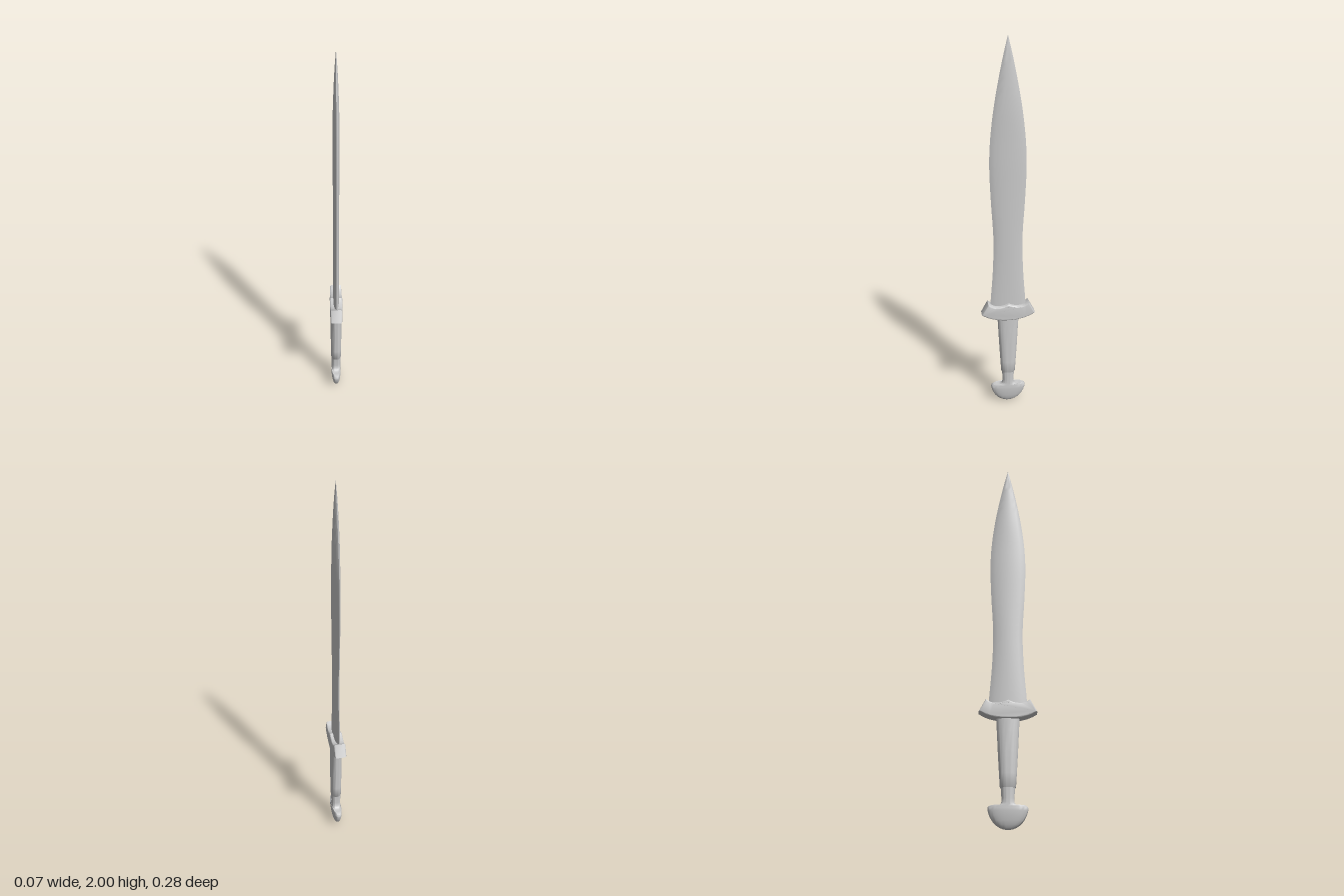
import * as THREE from 'three';
import { mergeVertices, toCreasedNormals } from 'three/addons/utils/BufferGeometryUtils.js';

const material = new THREE.MeshStandardMaterial({ color: 0xcccccc });

// Unit superellipse in [x, z]; power 1 is round, smaller is boxier.
function roundSection(count, power) {
  const soft = (v) => Math.sign(v) * Math.abs(v) ** power;
  return Array.from({ length: count }, (_, i) => {
    const a = (i / count) * Math.PI * 2;
    return [soft(Math.cos(a)), soft(Math.sin(a))];
  });
}

// Closed skin through scaled copies of a section; rows are [y, halfWidth (z), halfThickness (x)].
function loft(section, rows, crease) {
  const n = section.length;
  const positions = [];
  const index = [];
  for (const [y, w, t] of rows) for (const [x, z] of section) positions.push(x * t, y, z * w);
  for (let r = 0; r < rows.length - 1; r++) {
    for (let i = 0; i < n; i++) {
      const a = r * n + i, b = r * n + ((i + 1) % n);
      index.push(a, a + n, b, b, a + n, b + n);
    }
  }
  const bottom = rows.length * n, top = bottom + 1, last = (rows.length - 1) * n;
  positions.push(0, rows[0][0], 0, 0, rows[rows.length - 1][0], 0);
  for (let i = 0; i < n; i++) {
    const j = (i + 1) % n;
    index.push(bottom, i, j, top, last + j, last + i);
  }
  const geometry = new THREE.BufferGeometry();
  geometry.setAttribute('position', new THREE.Float32BufferAttribute(positions, 3));
  geometry.setIndex(index);
  return toCreasedNormals(geometry, crease);
}

// Smooth rows through a few profile points.
function smoothRows(rows, count) {
  const curve = new THREE.CatmullRomCurve3(rows.map((r) => new THREE.Vector3(...r)));
  return curve.getPoints(count).map((p) => [p.y === undefined ? 0 : p.x, Math.max(p.y, 0.0005), Math.max(p.z, 0.0005)]);
}

function createBlade() {
  // Bevelled section with a faint central ridge and sharp edges.
  const quarter = [[1, 0], [0.97, 0.36], [0.62, 0.72], [0.34, 0.88]];
  const half = [...quarter, [0, 1], ...quarter.slice(1).reverse().map(([x, z]) => [-x, z])];
  const section = [...half, ...half.map(([x, z]) => [-x, -z])];
  const rows = smoothRows([
    [0.57, 0.096, 0.015], [0.64, 0.092, 0.015], [0.8, 0.08, 0.015], [0.98, 0.075, 0.015],
    [1.2, 0.087, 0.015], [1.37, 0.093, 0.016], [1.5, 0.088, 0.016], [1.65, 0.071, 0.016],
    [1.8, 0.045, 0.012], [1.91, 0.022, 0.007], [2, 0.0005, 0.0005],
  ], 50);
  return loft(section, rows, 0.6);
}

function createGuard() {
  // Crescent outline with a scalloped top, drawn in the z/y plane.
  const s = new THREE.Shape();
  s.moveTo(0, 0.531);
  s.bezierCurveTo(0.06, 0.531, 0.1, 0.542, 0.133, 0.563);
  s.lineTo(0.106, 0.614);
  s.quadraticCurveTo(0.085, 0.597, 0.06, 0.597);
  s.quadraticCurveTo(0.025, 0.598, 0, 0.612);
  s.quadraticCurveTo(-0.025, 0.598, -0.06, 0.597);
  s.quadraticCurveTo(-0.085, 0.597, -0.106, 0.614);
  s.lineTo(-0.133, 0.563);
  s.bezierCurveTo(-0.1, 0.542, -0.06, 0.531, 0, 0.531);
  const g = new THREE.ExtrudeGeometry(s, {
    depth: 0.042, bevelSize: 0.007, bevelThickness: 0.009, bevelSegments: 4, curveSegments: 10,
  });
  g.translate(0, 0, -0.021);
  g.rotateY(Math.PI / 2);
  // Thicken gently towards the middle.
  const p = g.attributes.position;
  for (let i = 0; i < p.count; i++) {
    p.setX(i, p.getX(i) * (1.14 - 0.14 * Math.min(1, Math.abs(p.getZ(i)) / 0.14)));
  }
  g.deleteAttribute('normal');
  g.deleteAttribute('uv');
  return toCreasedNormals(mergeVertices(g, 1e-5), 0.7);
}

export function createModel() {
  const model = new THREE.Group();
  const add = (name, geometry) => {
    const mesh = new THREE.Mesh(geometry, material);
    mesh.name = name;
    model.add(mesh);
  };

  add('blade', createBlade());
  add('guard', createGuard());

  // Grip flares up into the guard and ends in a small step at the neck.
  add('grip', loft(roundSection(40, 0.85), [
    [0.194, 0.034, 0.026], [0.199, 0.038, 0.028], [0.26, 0.042, 0.029],
    [0.36, 0.048, 0.03], [0.46, 0.053, 0.029], [0.55, 0.058, 0.028],
  ], 0.7));

  // Neck and lobed pommel in one skin, with the lobes slightly upturned.
  add('pommel', loft(roundSection(40, 0.85), [
    [0.004, 0.004, 0.003], [0.007, 0.022, 0.009], [0.014, 0.04, 0.013], [0.026, 0.058, 0.018],
    [0.044, 0.074, 0.022], [0.066, 0.086, 0.025], [0.088, 0.093, 0.027], [0.1, 0.095, 0.027],
    [0.108, 0.092, 0.027], [0.114, 0.082, 0.026], [0.113, 0.066, 0.025], [0.112, 0.05, 0.025],
    [0.116, 0.038, 0.025], [0.126, 0.031, 0.025], [0.145, 0.03, 0.025], [0.2, 0.034, 0.026],
  ], 0.9));

  return model;
}
